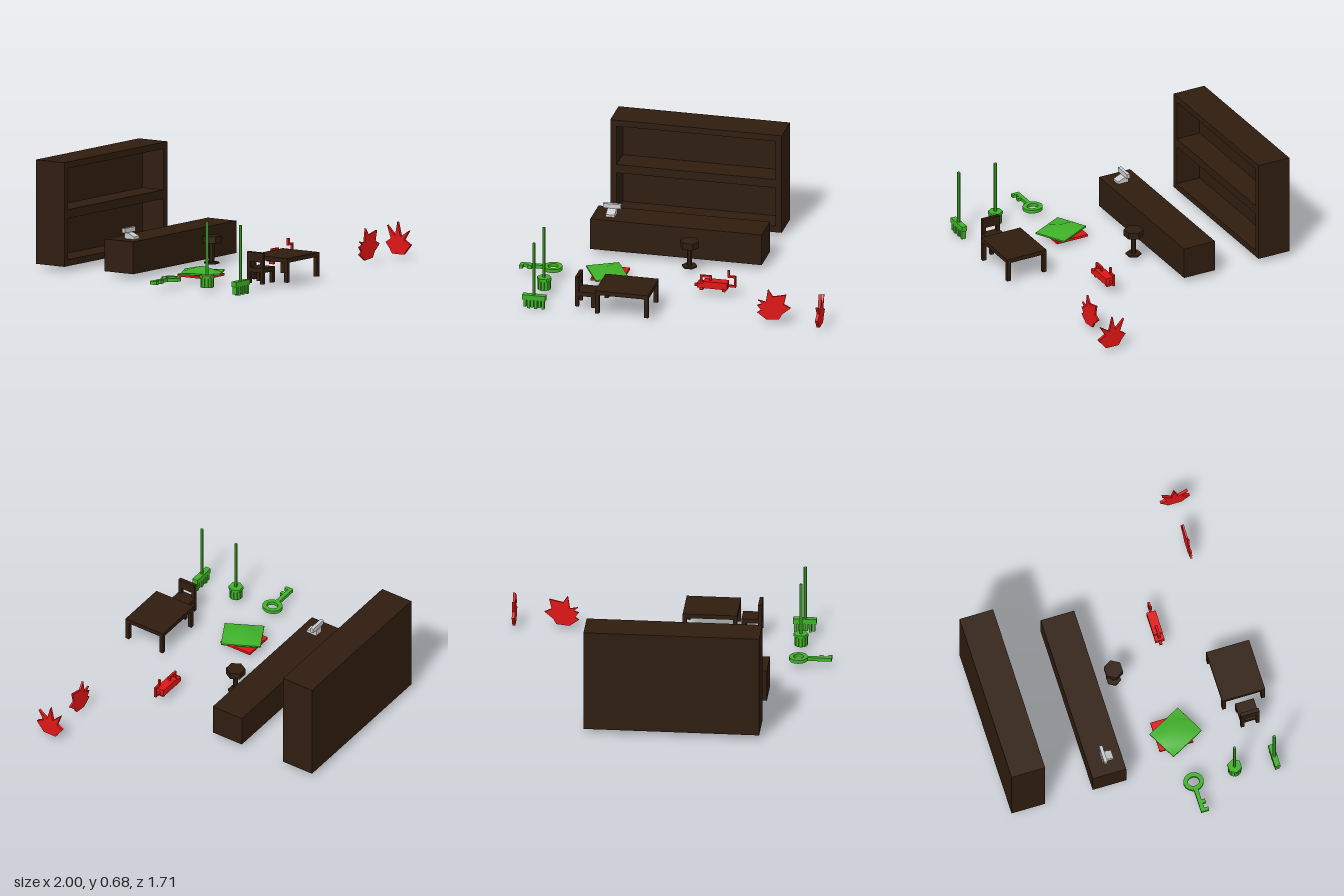
import * as THREE from 'three';

const mat = (color) => new THREE.MeshStandardMaterial({ color, flatShading: true });
const brown = mat(0x2f1c0f), green = mat(0x3fb028), red = mat(0xe01515), grey = mat(0xcccccc);

function add(parent, name, geo, material, x = 0, y = 0, z = 0) {
  const m = new THREE.Mesh(geo, material);
  m.name = name;
  m.position.set(x, y, z);
  parent.add(m);
  return m;
}

// Box given by its lower and upper limits on each axis
function box(parent, name, material, x0, x1, y0, y1, z0, z1) {
  return add(parent, name, new THREE.BoxGeometry(x1 - x0, y1 - y0, z1 - z0), material,
    (x0 + x1) / 2, (y0 + y1) / 2, (z0 + z1) / 2);
}

// Upright hexagonal prism with corners on the x axis
function hex(parent, name, material, r, y0, y1, x, z, rBottom = r) {
  const g = new THREE.CylinderGeometry(r, rBottom, y1 - y0, 6).rotateY(Math.PI / 6);
  return add(parent, name, g, material, x, (y0 + y1) / 2, z);
}

function group(parent, name) {
  const g = new THREE.Group();
  g.name = name;
  parent.add(g);
  return g;
}

const shapeOf = (pts) => new THREE.Shape(pts.map(([x, y]) => new THREE.Vector2(x, y)));
const extrude = (shape, depth) =>
  new THREE.ExtrudeGeometry(shape, { depth, bevelEnabled: false, curveSegments: 8 });

function legs(parent, material, x0, x1, z0, z1, y0, y1, t) {
  for (const x of [x0, x1 - t]) for (const z of [z0, z1 - t])
    box(parent, 'leg', material, x, x + t, y0, y1, z, z + t);
}

function furniture(root) {
  // Wall shelf with two open bays
  const shelf = group(root, 'wallShelf');
  box(shelf, 'back', brown, -0.655, 0.425, 0.03, 0.675, -0.855, -0.8);
  box(shelf, 'sideRight', brown, -0.655, -0.615, 0.03, 0.675, -0.8, -0.64);
  box(shelf, 'sideLeft', brown, 0.385, 0.425, 0.03, 0.675, -0.8, -0.64);
  for (const [y0, y1] of [[0.03, 0.07], [0.325, 0.38], [0.635, 0.675]])
    box(shelf, 'board', brown, -0.615, 0.385, y0, y1, -0.8, -0.64);

  box(root, 'counter', brown, -0.655, 0.425, 0.03, 0.23, -0.335, -0.12);

  // Till: sloped body with a raised display
  const till = group(root, 'till');
  const side = shapeOf([[0.175, 0.23], [0.247, 0.23], [0.247, 0.268], [0.22, 0.265], [0.175, 0.245]]);
  add(till, 'body', extrude(side, 0.056), grey, -0.571).rotation.y = Math.PI / 2;
  box(till, 'display', grey, -0.6, -0.487, 0.268, 0.297, -0.243, -0.222);

  const stool = group(root, 'stool');
  hex(stool, 'seat', brown, 0.06, 0.158, 0.2, 0, 0);
  hex(stool, 'post', brown, 0.016, 0.035, 0.158, 0, 0);
  hex(stool, 'base', brown, 0.048, 0.028, 0.038, 0, 0);

  const table = group(root, 'table');
  box(table, 'top', brown, -0.39, -0.055, 0.153, 0.18, 0.577, 0.852);
  legs(table, brown, -0.39, -0.055, 0.577, 0.852, 0.03, 0.153, 0.025);

  const chair = group(root, 'chair');
  box(chair, 'seat', brown, -0.535, -0.41, 0.1, 0.128, 0.652, 0.772);
  legs(chair, brown, -0.535, -0.41, 0.652, 0.772, 0.03, 0.1, 0.023);
  for (const z of [0.652, 0.749])
    box(chair, 'backPost', brown, -0.535, -0.512, 0.128, 0.165, z, z + 0.023);
  box(chair, 'backrest', brown, -0.535, -0.512, 0.165, 0.225, 0.652, 0.772);
}

function greenTools(root) {
  // Broom with a row of bristles
  const broom = group(root, 'broom');
  hex(broom, 'handle', green, 0.01, 0.08, 0.43, -0.79, 0.787);
  box(broom, 'head', green, -0.86, -0.715, 0.055, 0.088, 0.77, 0.805);
  for (let i = 0; i < 6; i++) {
    const x = -0.852 + i * 0.0225;
    box(broom, 'bristle', green, x, x + 0.017, i % 2 ? 0 : 0.008, 0.06, 0.773, 0.802);
  }

  // Mop with strands hanging round the cap
  const mop = group(root, 'mop');
  hex(mop, 'handle', green, 0.01, 0.09, 0.43, -0.787, 0.533);
  hex(mop, 'cap', green, 0.046, 0.082, 0.1, -0.787, 0.533);
  for (let i = 0; i < 12; i++) {
    const a = (i / 12) * Math.PI * 2;
    const s = add(mop, 'strand', new THREE.BoxGeometry(0.013, 0.06, 0.017), green,
      -0.787 + 0.034 * Math.cos(a), 0.054, 0.533 + 0.034 * Math.sin(a));
    s.rotation.y = -a;
  }

  // Key lying flat
  const key = group(root, 'key');
  const ring = new THREE.Shape().absellipse(-0.795, -0.268, 0.058, 0.063, 0, Math.PI * 2);
  ring.holes.push(new THREE.Path().absellipse(-0.795, -0.268, 0.031, 0.036, 0, Math.PI * 2, true));
  add(key, 'bow', extrude(ring, 0.022), green, 0, 0.042, 0).rotation.x = -Math.PI / 2;
  box(key, 'shaft', green, -1, -0.845, 0.042, 0.064, 0.254, 0.28);
  box(key, 'toothEnd', green, -1, -0.978, 0.042, 0.064, 0.28, 0.305);
  box(key, 'toothInner', green, -0.947, -0.923, 0.042, 0.064, 0.28, 0.3);

  // Turned cloth over a flat panel, rising to a low peak
  const cloth = group(root, 'cloth');
  cloth.position.set(-0.455, 0, 0.258);
  cloth.rotation.y = 0.485;
  const sheet = new THREE.BoxGeometry(0.208, 0.01, 0.244, 2, 1, 2);
  const p = sheet.attributes.position;
  for (let i = 0; i < p.count; i++)
    if (Math.hypot(p.getX(i), p.getZ(i)) < 0.01) p.setY(i, p.getY(i) + 0.035);
  sheet.computeVertexNormals();
  const smoothGreen = new THREE.MeshStandardMaterial({ color: 0x3fb028 });
  add(cloth, 'sheet', sheet, smoothGreen, 0, 0.052, 0);
  box(root, 'panel', red, -0.54, -0.345, 0.025, 0.04, 0.13, 0.345);
}

function redItems(root) {
  // Small machine with a crank
  const machine = group(root, 'crankMachine');
  box(machine, 'body', red, 0.175, 0.325, 0.055, 0.1, 0.312, 0.37);
  box(machine, 'front', red, 0.135, 0.175, 0.055, 0.085, 0.312, 0.37);
  box(machine, 'nozzle', red, 0.115, 0.135, 0.055, 0.07, 0.332, 0.35);
  for (const x of [0.15, 0.21])
    box(machine, 'gripPost', red, x, x + 0.012, 0.085, 0.125, 0.334, 0.348);
  box(machine, 'grip', red, 0.15, 0.222, 0.118, 0.13, 0.334, 0.348);
  for (const x of [0.15, 0.29])
    box(machine, 'foot', red, x, x + 0.02, 0.035, 0.055, 0.325, 0.357);
  box(machine, 'crankShaft', red, 0.325, 0.375, 0.068, 0.08, 0.334, 0.348);
  box(machine, 'crankArm', red, 0.363, 0.375, 0.08, 0.142, 0.334, 0.348);
  box(machine, 'crankBar', red, 0.322, 0.375, 0.13, 0.142, 0.334, 0.348);
  box(machine, 'crankHandle', red, 0.322, 0.335, 0.142, 0.175, 0.334, 0.348);

  // Two upright spiky leaves, one facing front and one facing sideways
  const leafA = shapeOf([[0.66, 0.225], [0.69, 0.18], [0.775, 0.2], [0.76, 0.135], [0.803, 0.115],
    [0.75, 0.07], [0.73, 0.035], [0.65, 0.027], [0.593, 0.068], [0.617, 0.085], [0.593, 0.115],
    [0.625, 0.128], [0.598, 0.15], [0.647, 0.14]]);
  add(root, 'leafFront', extrude(leafA, 0.012), red, 0, 0, 0.678);

  const leafB = shapeOf([[-0.694, 0.228], [-0.676, 0.14], [-0.616, 0.2], [-0.644, 0.12], [-0.605, 0.095],
    [-0.637, 0.055], [-0.653, 0.027], [-0.74, 0.027], [-0.793, 0.09], [-0.744, 0.118],
    [-0.78, 0.178], [-0.717, 0.137]]);
  add(root, 'leafSide', extrude(leafB, 0.018), red, 0.981, 0, 0).rotation.y = Math.PI / 2;
}

export function createModel() {
  const root = new THREE.Group();
  root.name = 'shopFurnitureAndTools';
  furniture(root);
  greenTools(root);
  redItems(root);
  return root;
}
